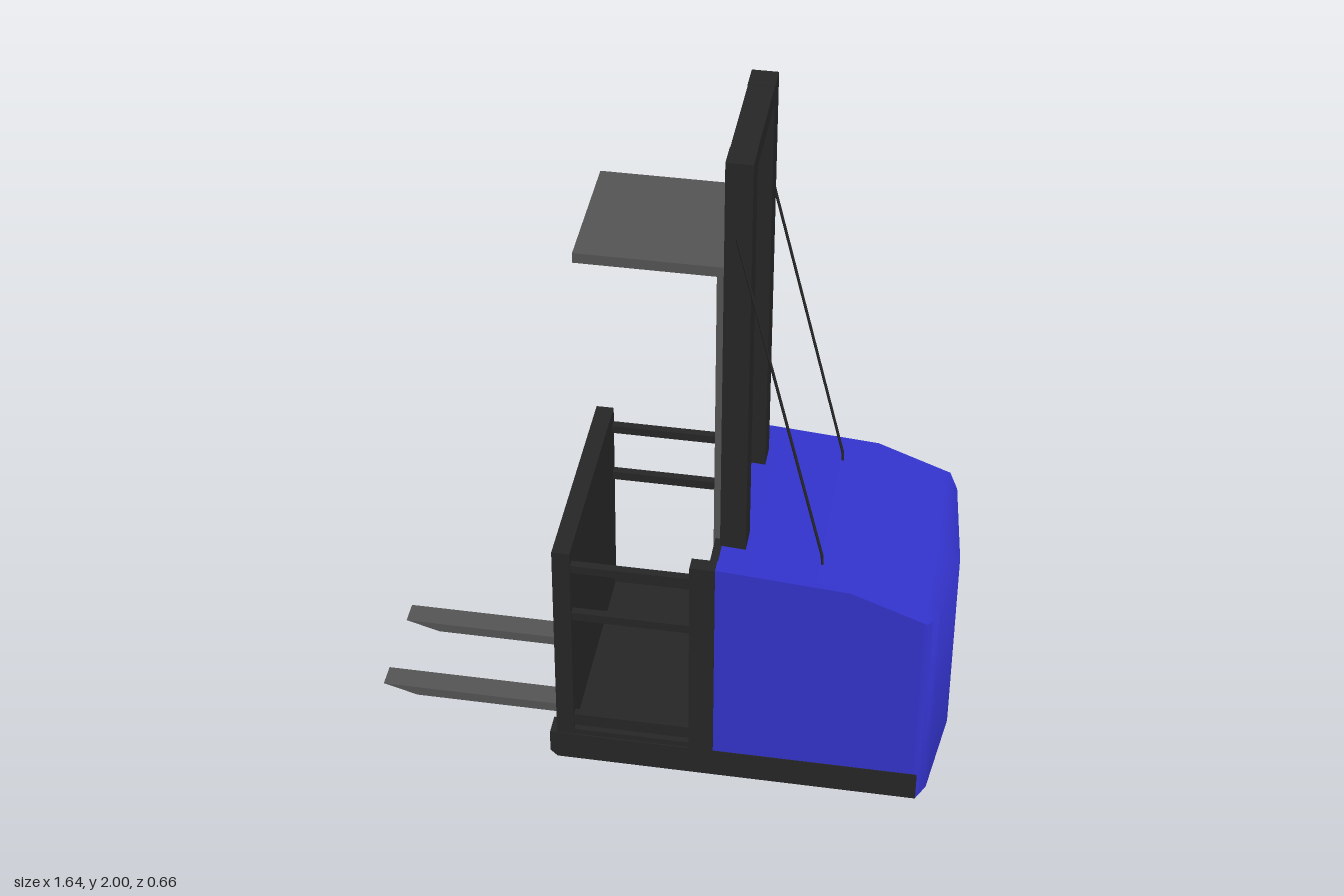
import * as THREE from 'three';
import { toCreasedNormals } from 'three/addons/utils/BufferGeometryUtils.js';

const material = (color) => new THREE.MeshStandardMaterial({ color });

export function createModel() {
  const group = new THREE.Group();
  const black = material(0x262626);
  const grey = material(0x555555);
  const blue = material(0x3333cc);

  function add(name, geometry, mat) {
    const mesh = new THREE.Mesh(geometry, mat);
    mesh.name = name;
    group.add(mesh);
    return mesh;
  }
  // Box given by its lower and upper limits on each axis
  function box(name, mat, x0, x1, y0, y1, z0, z1) {
    const mesh = add(name, new THREE.BoxGeometry(x1 - x0, y1 - y0, z1 - z0), mat);
    mesh.position.set((x0 + x1) / 2, (y0 + y1) / 2, (z0 + z1) / 2);
    return mesh;
  }
  // The same box on both sides
  function pair(name, mat, x0, x1, y0, y1, z0, z1) {
    box(name, mat, x0, x1, y0, y1, z0, z1);
    box(name, mat, x0, x1, y0, y1, -z1, -z0);
  }
  // Side profile extruded across z, centred on z
  function slab(points, width, z, steps = 1) {
    const shape = new THREE.Shape(points.map(([x, y]) => new THREE.Vector2(x, y)));
    const geometry = new THREE.ExtrudeGeometry(shape, { depth: width, steps, bevelEnabled: false });
    return geometry.translate(0, 0, z - width / 2);
  }
  // Straight-line interpolation through a short list of points
  function lerpTable(table, t) {
    let i = 1;
    while (i < table.length - 1 && t > table[i][0]) i++;
    const [a, b] = [table[i - 1], table[i]];
    return THREE.MathUtils.mapLinear(t, a[0], b[0], a[1], b[1]);
  }

  // Machine housing: sloping hood, tail drawn to a shallow point in plan
  const hood = [[0.18, 0.765], [0.25, 0.76], [0.55, 0.737], [0.76, 0.657], [0.82, 0.62]];
  const tail = [[0, 0.82], [0.28, 0.785], [0.33, 0.76]];
  const tailStart = 0.74;
  const body = slab(
    [[0.18, 0.09], [tailStart, 0.09], [tailStart, 0], [0.82, 0], ...hood.slice().reverse()],
    0.66, 0, 26);
  const p = body.attributes.position;
  for (let i = 0; i < p.count; i++) {
    const x = p.getX(i);
    if (x <= tailStart + 1e-4) continue;
    const end = lerpTable(tail, Math.abs(p.getZ(i)));
    const newX = THREE.MathUtils.mapLinear(x, tailStart, 0.82, tailStart, end);
    p.setX(i, newX);
    if (p.getY(i) > 0.3) p.setY(i, lerpTable(hood, newX));
  }
  add('housing', toCreasedNormals(body, 1.15), blue);
  box('housingUnderside', blue, 0.25, 0.75, 0.002, 0.1, -0.26, 0.26);

  // Chassis: side rails, floor and front bumpers
  for (const s of [-1, 1]) {
    add('chassisRail', slab(
      [[-0.27, 0], [0.76, 0], [0.76, 0.092], [-0.29, 0.092], [-0.29, 0.02]], 0.062, s * 0.301), black);
    add('bumper', slab(
      [[-0.28, 0.005], [-0.27, 0.005], [-0.27, 0.085], [-0.28, 0.085], [-0.293, 0.065], [-0.293, 0.025]],
      0.055, s * 0.293), black);
  }
  box('floor', black, -0.27, 0.25, 0.07, 0.11, -0.328, 0.328);

  // Operator cab
  box('frontPanel', black, -0.27, -0.22, 0.09, 0.765, -0.33, 0.33);
  box('rearPanel', black, 0.16, 0.182, 0.09, 0.765, -0.29, 0.29);
  pair('cabPost', black, 0.11, 0.18, 0.09, 0.765, 0.29, 0.332);
  for (const [y0, y1] of [[0.695, 0.72], [0.523, 0.55], [0.125, 0.165]])
    pair('cabRail', black, -0.23, 0.12, y0, y1, 0.302, 0.325);

  // Mast
  pair('mastPost', black, 0.177, 0.248, 0.1, 2, 0.15, 0.224);
  box('mastTopBeam', black, 0.178, 0.247, 1.945, 1.999, -0.16, 0.16);
  pair('liftPost', grey, 0.155, 0.178, 0.11, 1.65, 0.155, 0.195);
  box('overheadGuard', grey, -0.22, 0.178, 1.635, 1.665, -0.195, 0.195);

  // Slanting stays from the mast to the hood
  for (const s of [-1, 1]) {
    const path = new THREE.CatmullRomCurve3([
      new THREE.Vector3(0.21, 1.78, s * 0.229),
      new THREE.Vector3(0.458, 0.77, s * 0.229),
      new THREE.Vector3(0.46, 0.73, s * 0.229)], false, 'catmullrom', 0);
    add('mastStay', new THREE.TubeGeometry(path, 24, 0.004, 6), black);
  }

  // Fork carriage with clipped upper corners
  const plate = new THREE.Shape([
    [-0.22, 0.02], [0.22, 0.02], [0.22, 0.09], [0.13, 0.21], [-0.13, 0.21], [-0.22, 0.09],
  ].map(([z, y]) => new THREE.Vector2(z, y)));
  const plateGeometry = new THREE.ExtrudeGeometry(plate, { depth: 0.02, bevelEnabled: false });
  add('forkCarriage', plateGeometry.rotateY(Math.PI / 2).translate(-0.288, 0, 0), grey);

  // Forks with a tapered tip and upright heel
  for (const s of [-1, 1])
    add('fork', slab(
      [[-0.82, 0.052], [-0.72, 0.022], [-0.28, 0.022], [-0.28, 0.085], [-0.304, 0.085], [-0.304, 0.052]],
      0.07, s * 0.14), grey);

  return group;
}
